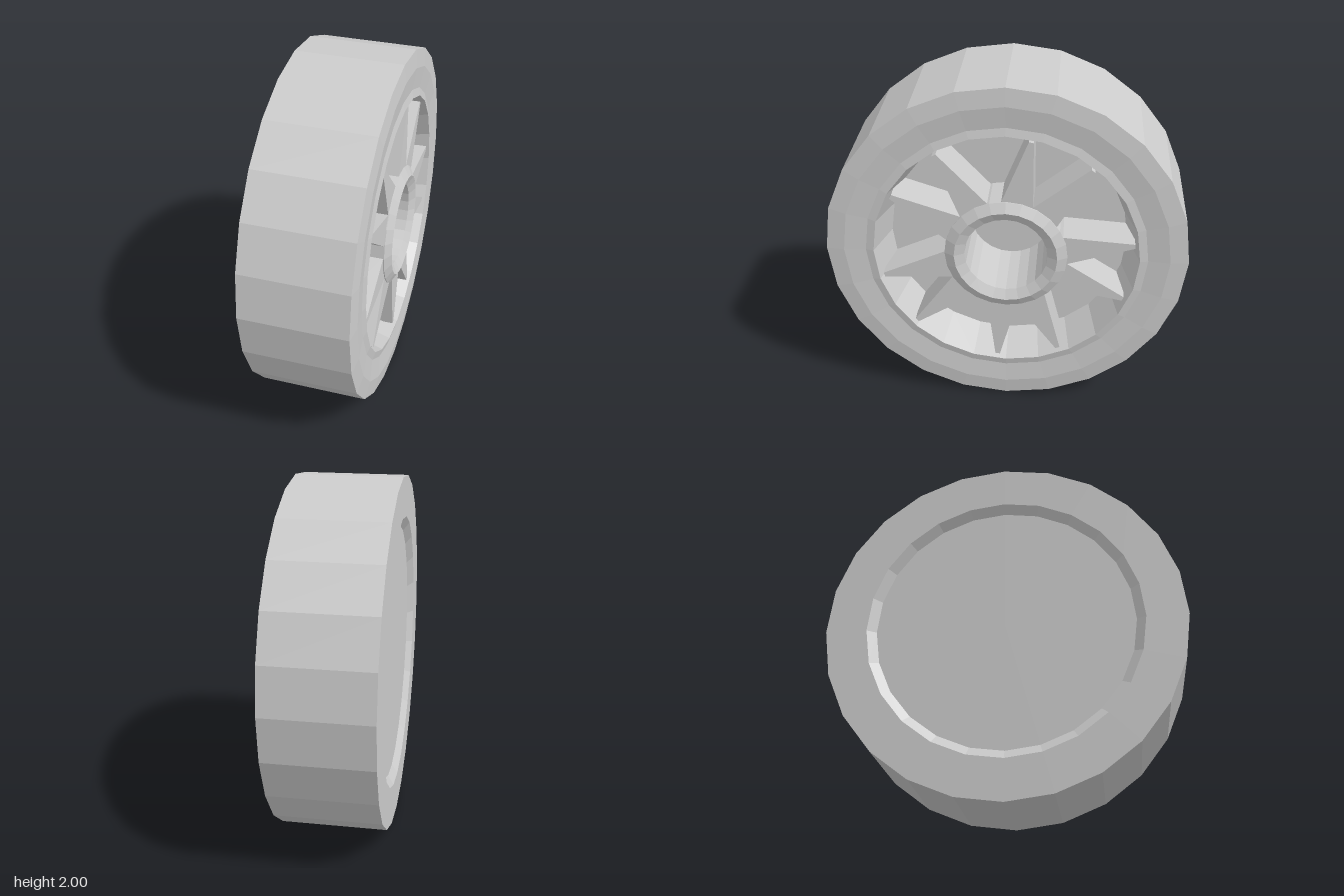
import * as THREE from 'three';

const material = new THREE.MeshStandardMaterial({ color: 0xcccccc, flatShading: true });

// Faceted solid of revolution about the x axis; profile is [radius, x] pairs
function turned(name, profile) {
  const geometry = new THREE.LatheGeometry(profile.map(([r, x]) => new THREE.Vector2(r, x)), 24);
  geometry.rotateZ(-Math.PI / 2);
  const mesh = new THREE.Mesh(geometry, material);
  mesh.name = name;
  return mesh;
}

export function createModel() {
  const wheel = new THREE.Group();
  wheel.name = 'wheel';

  // Tire with shallow dished back, bulging side wall and raised rim lip
  wheel.add(turned('tire', [
    [0, -0.275], [0.72, -0.275], [0.77, -0.31], [1, -0.31], [1, 0.28],
    [0.9, 0.292], [0.78, 0.28], [0.735, 0.29],
  ]));

  // Rim barrel and the dish floor behind the spokes
  wheel.add(turned('rim', [[0.735, 0.29], [0.67, 0.06], [0.34, 0.06]]));

  // Hub with chamfered edge and deep bore
  wheel.add(turned('hub', [
    [0.34, 0.06], [0.34, 0.28], [0.285, 0.31], [0.23, 0.28], [0.23, -0.1], [0, -0.1],
  ]));

  // Tapered spokes in five pairs
  const outline = new THREE.Shape([
    new THREE.Vector2(-0.09, 0.31), new THREE.Vector2(0.09, 0.31),
    new THREE.Vector2(0.013, 0.71), new THREE.Vector2(-0.013, 0.71),
  ]);
  const spokes = new THREE.Group();
  spokes.name = 'spokes';
  for (let i = 0; i < 5; i++) {
    for (const side of [-1, 1]) {
      const geometry = new THREE.ExtrudeGeometry(outline, { depth: 0.22, bevelEnabled: false });
      geometry.translate(0, 0, 0.055);
      geometry.rotateZ(THREE.MathUtils.degToRad(46.6 + 72 * i + 14.6 * side));
      geometry.rotateY(Math.PI / 2);
      const spoke = new THREE.Mesh(geometry, material);
      spoke.name = 'spoke';
      spokes.add(spoke);
    }
  }
  wheel.add(spokes);

  wheel.position.y = 1;
  const model = new THREE.Group();
  model.add(wheel);
  return model;
}
